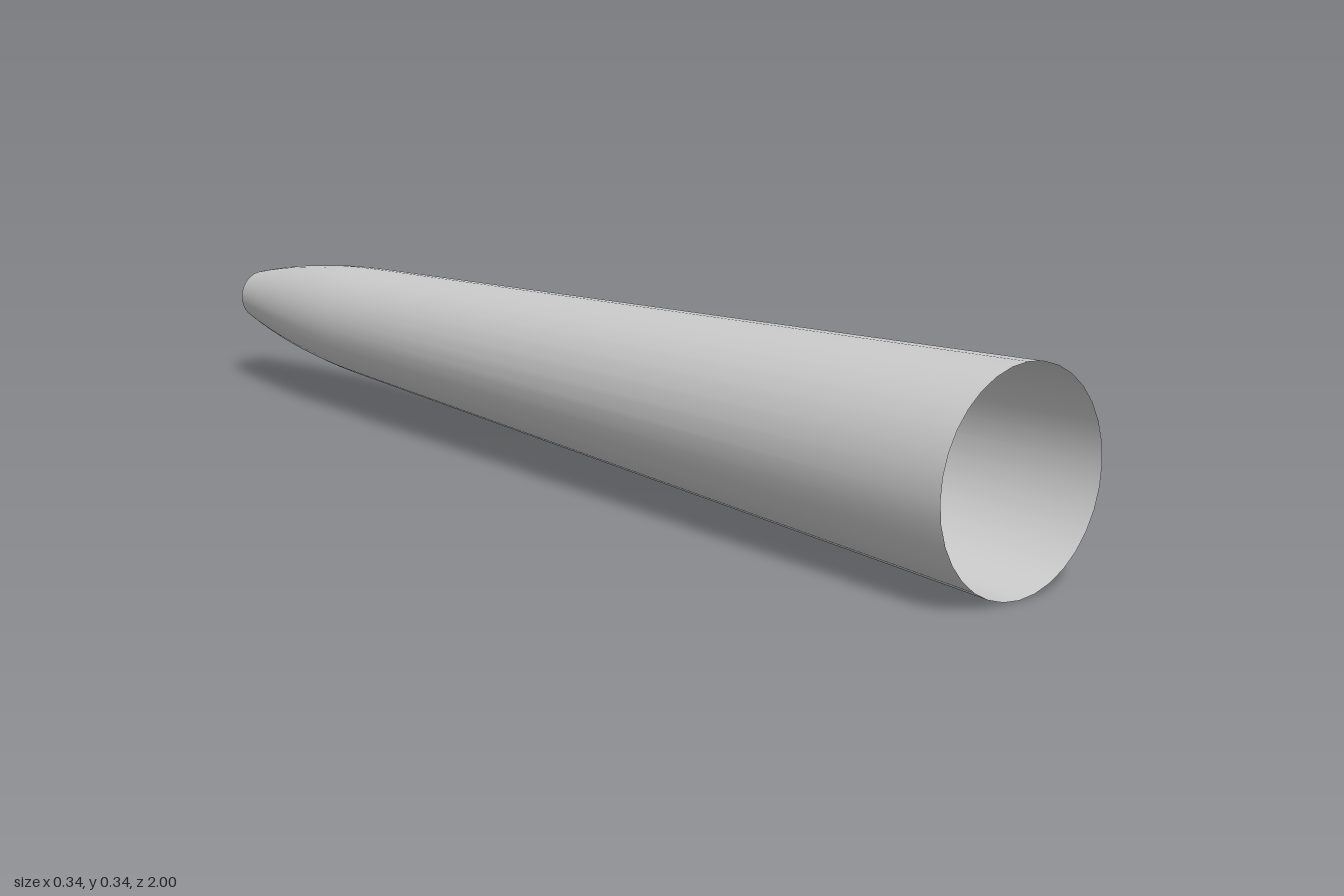
import * as THREE from 'three';

export function createModel() {
  const group = new THREE.Group();
  const material = new THREE.MeshStandardMaterial({ color: 0xcccccc, side: THREE.DoubleSide });

  // Profile along the axis: a straight taper, then a curved nose with an open tip
  const baseRadius = 0.17, shoulderRadius = 0.103, tipRadius = 0.049;
  const profile = [new THREE.Vector2(baseRadius, -1)];
  const nose = new THREE.QuadraticBezierCurve(
    new THREE.Vector2(shoulderRadius, 0.6),
    new THREE.Vector2(0.094, 0.8),
    new THREE.Vector2(tipRadius, 1)
  );
  profile.push(...nose.getPoints(8));

  // Thin open shell, tip towards the back
  const geometry = new THREE.LatheGeometry(profile, 32);
  geometry.rotateX(-Math.PI / 2);
  const shell = new THREE.Mesh(geometry, material);
  shell.name = 'taperedTube';
  shell.position.y = baseRadius + 0.001;
  group.add(shell);

  return group;
}
